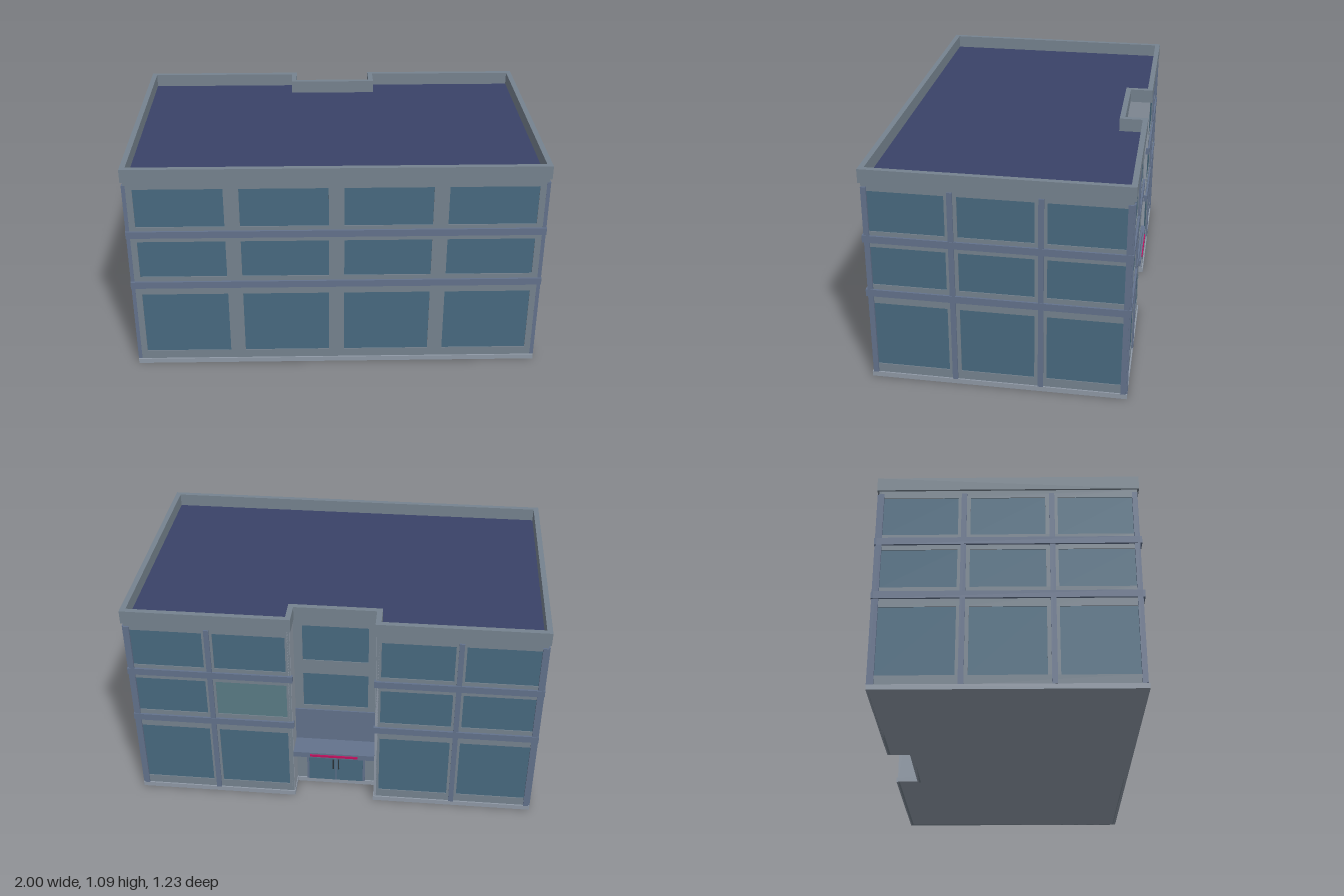
import * as THREE from 'three';

const mat = (c) => new THREE.MeshStandardMaterial({ color: c, flatShading: true });
const M = {
  wall: mat(0x76838f), base: mat(0x8f99a6), trim: mat(0x63728c),
  glass: mat(0x486a80), lightGlass: mat(0x5a7c86), roof: mat(0x3a4268),
  accent: mat(0xc2105f), handle: mat(0x2c3338),
};
const WALL_TOP = 1.02;
const FLOORS = [[0.07, 0.405], [0.505, 0.70], [0.78, 0.98]];
const BANDS = [0.4625, 0.742];

function mesh(name, geo, material, parent, x = 0, y = 0, z = 0) {
  const m = new THREE.Mesh(geo, material);
  m.name = name;
  m.position.set(x, y, z);
  parent.add(m);
  return m;
}
const box = (name, w, h, d, material, parent, x, y, z) =>
  mesh(name, new THREE.BoxGeometry(w, h, d), material, parent, x, y, z);

// Plan outline, inset by d, with the entrance notch at the back
function outline(d) {
  const X = 1 - d, Z = 0.612 - d, n = 0.197 + d, k = 0.5 - d;
  return [[-X, -Z], [X, -Z], [X, Z], [n, Z], [n, k], [-n, k], [-n, Z], [-X, Z]]
    .map(([x, y]) => new THREE.Vector2(x, y));
}
function slab(name, d, y0, y1, material, parent, holeInset) {
  const s = new THREE.Shape(outline(d));
  if (holeInset) s.holes.push(new THREE.Path(outline(holeInset)));
  const g = new THREE.ExtrudeGeometry(s, { depth: y1 - y0, bevelEnabled: false });
  g.rotateX(-Math.PI / 2);
  return mesh(name, g, material, parent, 0, y0, 0);
}

// A wall skin with inset windows, in its own frame: outside faces +z
function facade(name, parent, { w, pos, rot, bays, floors = FLOORS, columns = [], bands = BANDS, light }) {
  const g = new THREE.Group();
  g.name = name;
  g.position.set(...pos);
  g.rotation.y = rot;
  parent.add(g);
  const s = new THREE.Shape([[-w / 2, 0], [w / 2, 0], [w / 2, WALL_TOP], [-w / 2, WALL_TOP]]
    .map(([x, y]) => new THREE.Vector2(x, y)));
  bays.forEach(([x0, x1], i) => floors.forEach(([y0, y1], j) => {
    s.holes.push(new THREE.Path([[x0, y0], [x0, y1], [x1, y1], [x1, y0]]
      .map(([x, y]) => new THREE.Vector2(x, y))));
    const isLight = light && light[0] === i && light[1] === j;
    box('window', x1 - x0, y1 - y0, 0.006, isLight ? M.lightGlass : M.glass, g,
      (x0 + x1) / 2, (y0 + y1) / 2, 0.003);
  }));
  mesh('wall', new THREE.ExtrudeGeometry(s, { depth: 0.01, bevelEnabled: false }), M.wall, g);
  columns.forEach((x) => box('column', 0.025, 0.975, 0.018, M.trim, g, x, 0.5125, 0.009));
  bands.forEach((y) => box('floorBand', w + 0.018, 0.035, 0.02, M.trim, g, 0, y, 0.01));
  return g;
}

export function createModel() {
  const model = new THREE.Group();
  model.name = 'officeBuilding';

  // Main volume, plinth, parapet and roof
  slab('core', 0.02, 0, WALL_TOP, M.base, model);
  slab('plinth', 0.003, 0, 0.025, M.base, model);
  slab('parapet', 0, WALL_TOP, 1.087, M.wall, model, 0.026);
  slab('roof', 0.022, WALL_TOP - 0.005, WALL_TOP + 0.002, M.roof, model);

  // Front and side walls
  facade('frontFacade', model, {
    w: 1.98, pos: [0, 0, 0.592], rot: 0,
    bays: [[-0.95, -0.53], [-0.457, -0.037], [0.037, 0.457], [0.53, 0.95]],
  });
  for (const s of [1, -1]) {
    facade(s > 0 ? 'leftFacade' : 'rightFacade', model, {
      w: 1.184, pos: [s * 0.98, 0, 0], rot: s * Math.PI / 2,
      bays: [[-0.578, -0.23], [-0.173, 0.173], [0.23, 0.578]],
      columns: [-0.59, -0.203, 0.203, 0.59],
    });
    // Back wings on both sides of the entrance
    facade(s > 0 ? 'backLeftFacade' : 'backRightFacade', model, {
      w: 0.785, pos: [s * 0.5975, 0, -0.592], rot: Math.PI,
      bays: [[-0.37, -0.025], [0.025, 0.37]],
      columns: [0, -s * 0.38], light: s > 0 ? [1, 1] : null,
    });
    // Side walls of the entrance recess
    box('recessSideWall', 0.014, WALL_TOP, 0.112, M.base, model, s * 0.21, WALL_TOP / 2, -0.546);
  }

  // Wall behind the entrance recess
  facade('entranceFacade', model, {
    w: 0.42, pos: [0, 0, -0.48], rot: Math.PI,
    bays: [[-0.16, 0.16]], floors: FLOORS.slice(1), bands: [],
  });
  box('entrancePanel', 0.405, 0.2, 0.008, M.trim, model, 0, 0.38, -0.493);

  // Canopy with coloured strip
  box('canopy', 0.405, 0.03, 0.12, M.trim, model, 0, 0.278, -0.55);
  box('canopyStrip', 0.24, 0.012, 0.006, M.accent, model, 0, 0.278, -0.612);

  // Double door
  const door = new THREE.Group();
  door.name = 'entranceDoor';
  model.add(door);
  box('doorFrame', 0.3, 0.235, 0.01, M.trim, door, 0, 0.1425, -0.495);
  for (const s of [1, -1]) {
    box('doorLeaf', 0.136, 0.225, 0.008, M.glass, door, s * 0.071, 0.1395, -0.499);
    box('doorHandle', 0.006, 0.06, 0.008, M.handle, door, s * 0.014, 0.135, -0.507);
  }
  return model;
}
